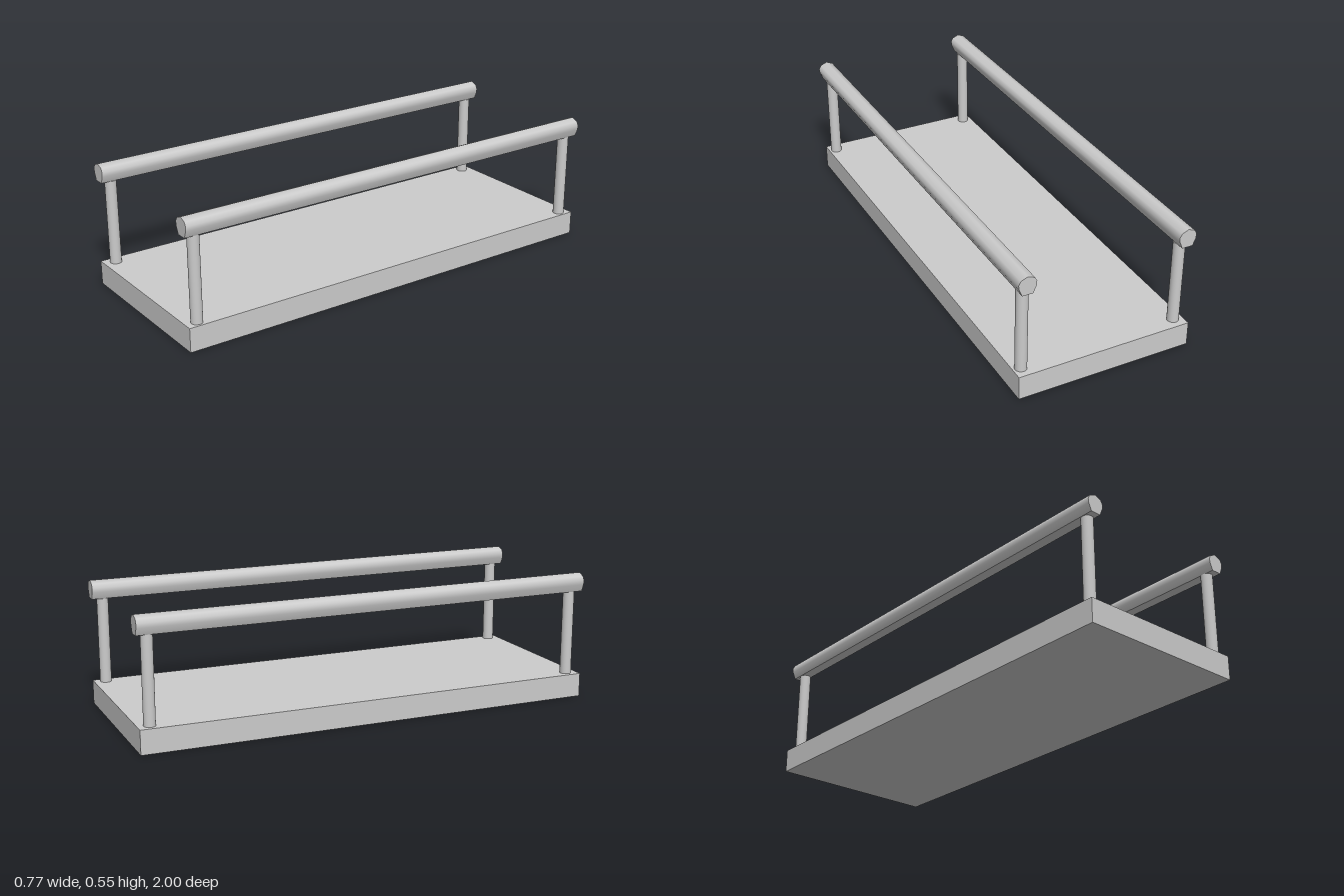
import * as THREE from 'three';
import { toCreasedNormals } from 'three/addons/utils/BufferGeometryUtils.js';

const DECK_TOP = 0.103, RAIL_BOTTOM = 0.473;

// Handrail cross-section: flat base, flared sides, low peaked top
const RAIL_HALF = [[0.023, 0.473], [0.036, 0.504], [0.038, 0.523], [0.029, 0.54]];

function railGeometry() {
  const points = [
    ...RAIL_HALF,
    [0, 0.552],
    ...RAIL_HALF.map(([x, y]) => [-x, y]).reverse(),
  ].map(([x, y]) => new THREE.Vector2(x, y));
  const geometry = new THREE.ExtrudeGeometry(new THREE.Shape(points), { depth: 2, bevelEnabled: false });
  geometry.translate(0, 0, -1);
  return toCreasedNormals(geometry, THREE.MathUtils.degToRad(50));
}

export function createModel() {
  const group = new THREE.Group();
  const material = new THREE.MeshStandardMaterial({ color: 0xcccccc });

  const add = (name, geometry, x, y, z) => {
    const mesh = new THREE.Mesh(geometry, material);
    mesh.name = name;
    mesh.position.set(x, y, z);
    group.add(mesh);
  };

  // Flat walkway slab
  add('deck', new THREE.BoxGeometry(0.76, DECK_TOP, 2), -0.004, DECK_TOP / 2, 0);

  // A handrail on two round posts along each side
  const rail = railGeometry();
  const postHeight = RAIL_BOTTOM - DECK_TOP;
  const post = new THREE.CylinderGeometry(0.0245, 0.0245, postHeight, 32);
  for (const [side, sign] of [['left', 1], ['right', -1]]) {
    add(`${side}Handrail`, rail, sign * 0.3455, 0, 0);
    for (const [end, z] of [['Front', 0.95], ['Back', -0.95]]) {
      add(`${side}${end}Post`, post, sign * 0.3425, DECK_TOP + postHeight / 2, z);
    }
  }

  return group;
}
